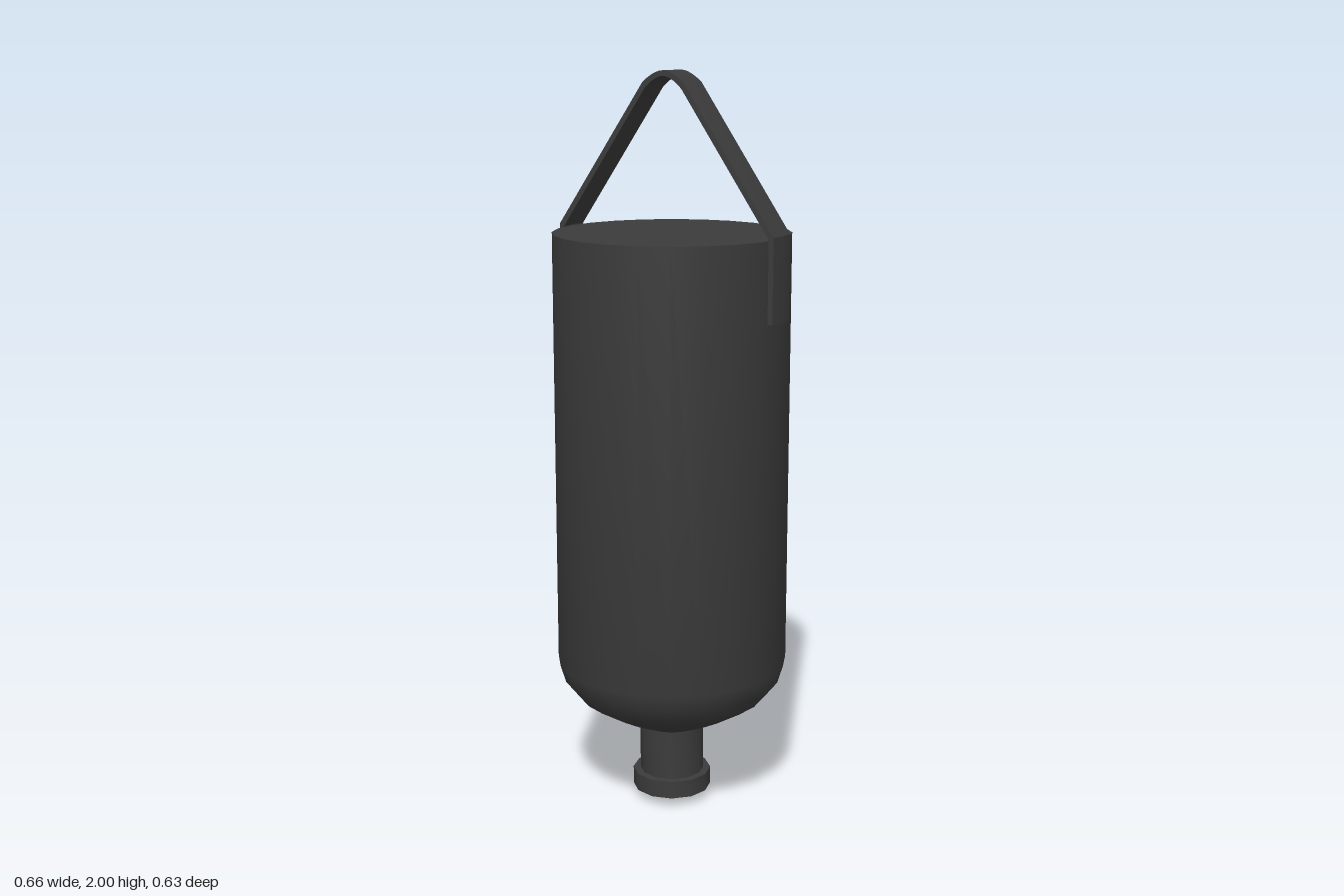
import * as THREE from 'three';
import { toCreasedNormals } from 'three/addons/utils/BufferGeometryUtils.js';

const dark = new THREE.MeshStandardMaterial({ color: 0x3b3b3b });
const v = (x, y) => new THREE.Vector2(x, y);

function add(group, name, geometry, crease) {
  const mesh = new THREE.Mesh(toCreasedNormals(geometry, crease), dark);
  mesh.name = name;
  group.add(mesh);
}

// Solid of revolution from [radius, height] pairs, bottom to top
function turned(points, sides) {
  return new THREE.LatheGeometry(points.map(([r, y]) => v(r, y)), sides);
}

// Right half of the strap's outline, from lower end to the apex
function strapHalf(end, shoulder, bend, apex) {
  const curve = new THREE.QuadraticBezierCurve(bend, v(bend.x * 0.42, apex), v(0, apex));
  return [end, shoulder, ...curve.getPoints(5)];
}

function strapGeometry() {
  const width = 0.092;
  const mirrored = (half) => [...half, ...half.slice(0, -1).reverse().map((p) => v(-p.x, p.y))];
  const outer = mirrored(strapHalf(v(0.328, 1.372), v(0.328, 1.594), v(0.062, 1.97), 2.0));
  const inner = mirrored(strapHalf(v(0.314, 1.372), v(0.314, 1.588), v(0.055, 1.955), 1.986));
  const shape = new THREE.Shape([...outer, ...inner.reverse()]);
  const geometry = new THREE.ExtrudeGeometry(shape, { depth: width, steps: 2, bevelEnabled: false });
  geometry.translate(0, 0, -width / 2);
  // Wrap the strap slightly around the round body
  const pos = geometry.attributes.position;
  for (let i = 0; i < pos.count; i++) {
    pos.setX(i, pos.getX(i) * (1 - 0.36 * Math.abs(pos.getZ(i))));
  }
  return geometry;
}

export function createModel() {
  const group = new THREE.Group();

  // Flat-topped canister with a rounded shoulder at the bottom
  add(group, 'body', turned([
    [0, 0.217], [0.09, 0.217], [0.175, 0.258], [0.26, 0.31],
    [0.3, 0.36], [0.315, 0.41], [0.315, 1.585], [0, 1.585],
  ], 24), 0.7);

  // Neck, cap and small nozzle below the shoulder
  add(group, 'neck', turned([[0, 0.07], [0.088, 0.07], [0.088, 0.225], [0, 0.225]], 12), 0.7);
  add(group, 'cap', turned([[0, 0.028], [0.108, 0.028], [0.108, 0.077], [0, 0.077]], 12), 0.7);
  add(group, 'nozzle', turned([[0, 0], [0.014, 0], [0.03, 0.022], [0.03, 0.035], [0, 0.035]], 12), 0.7);

  // Hanging strap
  add(group, 'strap', strapGeometry(), 0.5);

  return group;
}
